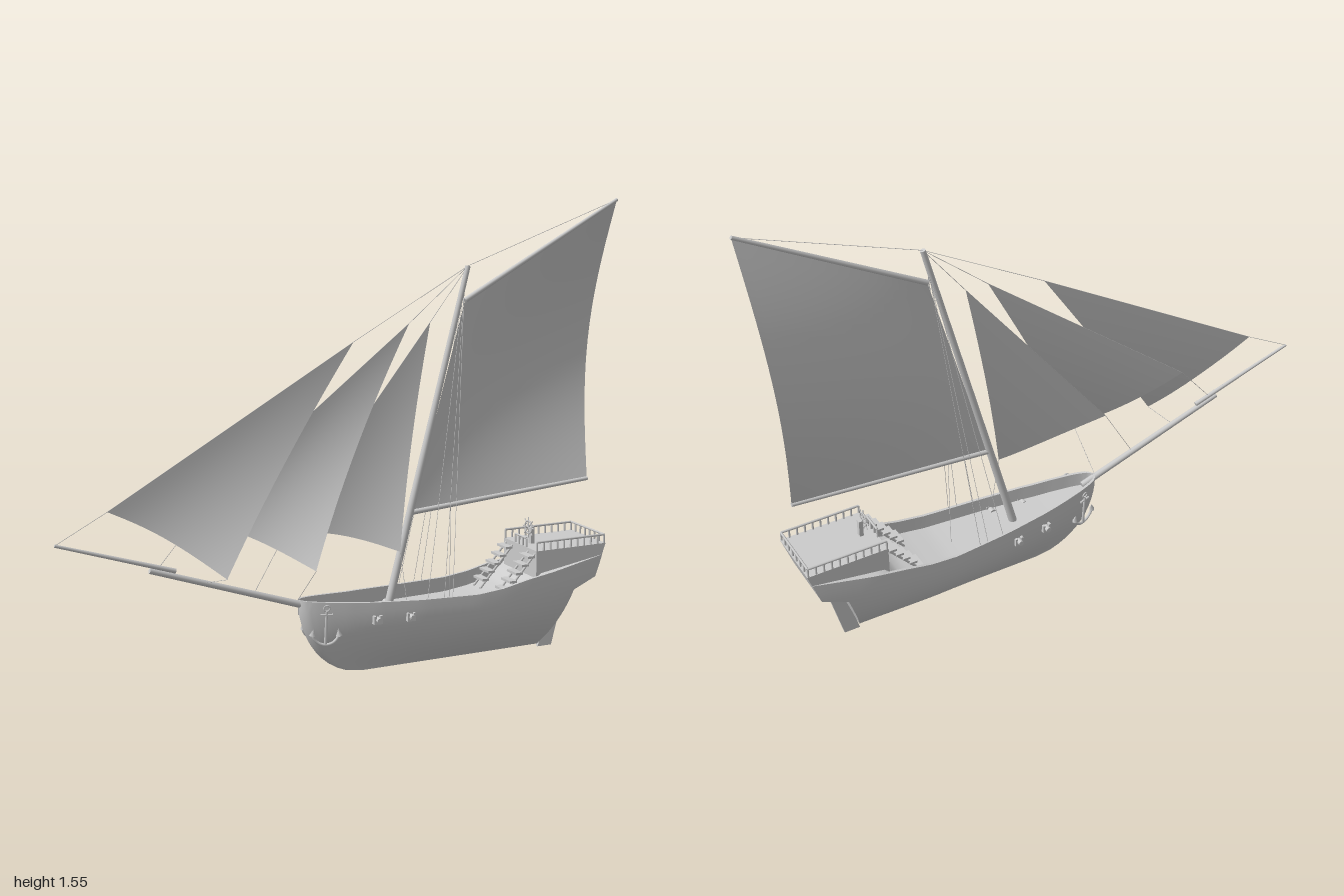
import * as THREE from 'three';
import { toCreasedNormals } from 'three/addons/utils/BufferGeometryUtils.js';

const grey = new THREE.MeshStandardMaterial({ color: 0xcccccc });
const thin = new THREE.MeshStandardMaterial({ color: 0xcccccc, side: THREE.DoubleSide });
const V = (x, y, z = 0) => new THREE.Vector3(x, y, z);
const lerp = THREE.MathUtils.lerp;

// piecewise-linear lookup in a short [x, value] table
function look(table, x) {
  for (let i = 1; i < table.length; i++) {
    const [x0, y0] = table[i - 1], [x1, y1] = table[i];
    if (x <= x1) return lerp(y0, y1, Math.max(0, (x - x0) / (x1 - x0)));
  }
  return table[table.length - 1][1];
}

// surface from a rule: columns i = 0..nu, rows j = 0..nv
function grid(nu, nv, rule) {
  const pos = [], index = [];
  for (let j = 0; j <= nv; j++) for (let i = 0; i <= nu; i++) pos.push(...rule(i, j).toArray());
  for (let j = 0; j < nv; j++) for (let i = 0; i < nu; i++) {
    const a = j * (nu + 1) + i, d = a + nu + 1;
    index.push(a, a + 1, d + 1, a, d + 1, d);
  }
  const g = new THREE.BufferGeometry();
  g.setAttribute('position', new THREE.Float32BufferAttribute(pos, 3));
  g.setIndex(index);
  g.computeVertexNormals();
  return g;
}

// hull lines
const SHEER = [[-0.2, 0.28], [0, 0.265], [0.2, 0.258], [0.4, 0.256], [0.5, 0.267], [0.58, 0.285], [0.7, 0.303], [0.9, 0.335]];
const BEAM = [[-0.2, 0], [-0.195, 0.014], [-0.18, 0.03], [-0.155, 0.041], [-0.12, 0.052], [-0.05, 0.068], [0.05, 0.087],
  [0.2, 0.108], [0.4, 0.126], [0.5, 0.131], [0.58, 0.133], [0.7, 0.13], [0.9, 0.109]];
const STERN = [[0, 0.71], [0.66, 0.785], [0.77, 0.873], [1, 0.899]];
const DECK_DROP = [[0.6, 0.05], [0.64, 0]];
const ROWS = [0, 0.03, 0.08, 0.15, 0.23, 0.32, 0.42, 0.5, 0.58, 0.66, 0.77, 0.88, 1];

function hullPoint(u, v) {
  const top = lerp(-0.2, 0.899, u);
  const bow = 0.03 - 0.23 * Math.sqrt(1 - (1 - v) ** 2);
  const rake = (0.899 - look(STERN, v)) * u ** 4;
  return V(lerp(bow, 0.899, u) - rake, lerp(0.009, look(SHEER, top), v), look(BEAM, top - rake) * (1 - (1 - v) ** 2.5));
}

// half section from keel over the rim and down to the deck centreline
function section(u) {
  const pts = ROWS.map(v => hullPoint(u, v));
  const t = pts[pts.length - 1], inner = Math.max(0, t.z - 0.01), deck = t.y - look(DECK_DROP, t.x);
  pts.push(V(t.x, t.y, inner), V(t.x, deck, inner), V(t.x, deck, 0));
  return pts;
}

export function createModel() {
  const ship = new THREE.Group();
  ship.name = 'sailingShip';

  const add = (name, geo, mat = grey, parent = ship) => {
    const m = new THREE.Mesh(geo, mat);
    m.name = name;
    parent.add(m);
    return m;
  };
  const box = (name, w, h, d, x, y, z, parent) => {
    const m = add(name, new THREE.BoxGeometry(w, h, d), grey, parent);
    m.position.set(x, y, z);
    return m;
  };
  const spar = (name, a, b, r0, r1 = r0, sides = 12, parent = ship) => {
    const m = add(name, new THREE.CylinderGeometry(r1, r0, a.distanceTo(b), sides), grey, parent);
    m.position.copy(a).add(b).multiplyScalar(0.5);
    m.quaternion.setFromUnitVectors(V(0, 1, 0), b.clone().sub(a).normalize());
    return m;
  };
  const rope = (a, b) => spar('rope', a, b, 0.0009, 0.0009, 5);
  const plate = (name, pts, depth) => {
    const shape = new THREE.Shape(pts.map(p => new THREE.Vector2(...p)));
    const g = new THREE.ExtrudeGeometry(shape, { depth, bevelEnabled: false });
    return add(name, g.translate(0, 0, -depth / 2));
  };

  // hull shell, bulwark and deck in one loft, then the transom
  const N = 48;
  const cols = Array.from({ length: N + 1 }, (_, i) => {
    const half = section((i / N) ** 1.6);
    const other = half.slice(1).reverse().map(p => V(p.x, p.y, -p.z));
    return other.concat(half);
  });
  add('hull', toCreasedNormals(grid(N, cols[0].length - 1, (i, j) => cols[i][j]), 0.6), thin);
  add('transom', toCreasedNormals(grid(2, ROWS.length - 1, (i, j) => {
    const p = hullPoint(1, ROWS[j]);
    return V(p.x, p.y, p.z * (1 - i));
  }), 0.3), thin);
  plate('rudder', [[0.71, 0], [0.765, 0], [0.828, 0.245], [0.78, 0.23]], 0.012);

  // raised stern deck
  plate('sternCastle', [[0.635, 0.22], [0.86, 0.262], [0.874, 0.262], [0.913, 0.374], [0.635, 0.374]], 0.215);

  // railing around the stern deck
  const railing = new THREE.Group();
  railing.name = 'railing';
  ship.add(railing);
  const rail = (a, b, n) => {
    const up = V(0, 0.03);
    spar('handrail', a.clone().add(up), b.clone().add(up), 0.004, 0.004, 6, railing);
    for (let i = 0; i <= n; i++) {
      const p = a.clone().lerp(b, i / n);
      spar('railPost', p, p.clone().add(up), 0.0035, 0.0035, 6, railing);
    }
  };
  for (const s of [1, -1]) rail(V(0.638, 0.374, s * 0.104), V(0.908, 0.374, s * 0.104), 10);
  rail(V(0.908, 0.374, -0.104), V(0.908, 0.374, 0.104), 7);
  rail(V(0.638, 0.374, -0.036), V(0.638, 0.374, 0.036), 3);

  // twin stairs up to the stern deck
  for (const s of [1, -1]) {
    const stairs = new THREE.Group();
    stairs.name = 'stairs';
    ship.add(stairs);
    for (let i = 0; i < 5; i++) box('tread', 0.026, 0.008, 0.062, 0.525 + i * 0.023, 0.25 + i * 0.026, s * 0.073, stairs);
    for (const e of [-0.022, 0.022]) spar('stringer', V(0.508, 0.22, s * 0.073 + e), V(0.636, 0.362, s * 0.073 + e), 0.004, 0.004, 6, stairs);
  }

  // steering wheel
  const wheel = new THREE.Group();
  wheel.name = 'steeringWheel';
  wheel.position.set(0.667, 0.432, 0);
  wheel.rotation.y = Math.PI / 2;
  ship.add(wheel);
  add('wheelRim', new THREE.TorusGeometry(0.022, 0.003, 6, 24), grey, wheel);
  for (let i = 0; i < 4; i++) {
    const d = V(Math.cos(i * Math.PI / 4), Math.sin(i * Math.PI / 4)).multiplyScalar(0.036);
    spar('wheelSpoke', d.clone().negate(), d, 0.002, 0.002, 6, wheel);
  }
  box('wheelStand', 0.014, 0.06, 0.016, 0.68, 0.402, 0);

  // anchors and guns on both bows
  for (const s of [1, -1]) {
    const anchor = new THREE.Group();
    anchor.name = 'anchor';
    anchor.position.set(-0.125, 0.2, s * 0.056);
    anchor.rotation.set(s * 0.1, -s * 0.3, 0);
    ship.add(anchor);
    spar('shank', V(0, -0.065), V(0, 0.05), 0.005, 0.004, 8, anchor);
    spar('stock', V(-0.02, 0.036), V(0.02, 0.036), 0.004, 0.004, 8, anchor);
    add('ring', new THREE.TorusGeometry(0.01, 0.0025, 6, 14), grey, anchor).position.y = 0.058;
    const arms = add('arms', new THREE.TorusGeometry(0.044, 0.005, 8, 20, Math.PI * 0.9), grey, anchor);
    arms.position.y = -0.024;
    arms.rotation.z = Math.PI * 1.05;
    for (const e of [1, -1]) {
      const fluke = add('fluke', new THREE.ConeGeometry(0.011, 0.026, 4), grey, anchor);
      fluke.position.set(e * 0.042, -0.024, 0);
      fluke.rotation.z = e * 0.15;
    }
    for (const [x, z] of [[0.045, 0.087], [0.16, 0.101]]) {
      for (const e of [-0.011, 0.011]) box('gunPort', 0.008, 0.028, 0.018, x + e, 0.205, s * z);
      box('gunSill', 0.03, 0.007, 0.018, x, 0.195, s * z);
      spar('gun', V(x, 0.206, s * (z - 0.03)), V(x, 0.206, s * (z + 0.021)), 0.011, 0.009);
    }
  }

  // mast and spars
  const masthead = V(0.415, 1.338);
  const throat = V(0.405, 1.225), peak = V(0.992, 1.543), tack = V(0.215, 0.53), clew = V(0.9, 0.583);
  spar('mast', V(0.122, 0.2), masthead, 0.014, 0.009, 16);
  spar('gaff', throat, peak, 0.009, 0.006);
  spar('boom', tack, clew, 0.009, 0.007);
  spar('bowsprit', V(-0.15, 0.25), V(-0.7, 0.435), 0.012, 0.009);
  spar('jibBoom', V(-0.615, 0.425), V(-0.997, 0.547), 0.008, 0.005);

  // mainsail: straight on its spars, bellied out along the free edge
  add('mainsail', grid(20, 20, (i, j) => {
    const u = i / 20, v = j / 20;
    const p = tack.clone().lerp(clew, u).lerp(throat.clone().lerp(peak, u), v);
    p.z = -0.086 * u ** 0.85 * Math.sin(Math.PI * v);
    return p;
  }), thin);

  // headsails: head, tack and a clew that curls out to the side
  const jibs = [
    [V(0, 1.11), V(-0.83, 0.635), V(-0.48, 0.405, 0.096)],
    [V(0.2, 1.16), V(-0.55, 0.58), V(-0.195, 0.408, 0.135)],
    [V(0.277, 1.16), V(-0.24, 0.51), V(0.135, 0.42, 0.072)],
  ];
  for (const [head, low, corner] of jibs) add('headsail', grid(16, 20, (i, j) => {
    const s = i / 16, t = 1 - j / 20;
    const foot = low.clone().lerp(corner, s);
    foot.y += 0.018 * Math.sin(Math.PI * s);
    const p = head.clone().lerp(foot, t);
    p.z = corner.z * s ** 2.4 * t ** 2.2;
    return p;
  }), thin);

  // stays and sheets
  rope(masthead, peak);
  rope(masthead, jibs[0][0]);
  rope(jibs[0][0], jibs[0][1]);
  rope(jibs[0][1], V(-0.997, 0.547));
  const feet = [null, V(-0.68, 0.43), V(-0.35, 0.325)];
  for (const k of [1, 2]) {
    rope(masthead, jibs[k][0]);
    rope(jibs[k][0], jibs[k][1]);
    rope(jibs[k][1], feet[k]);
  }
  rope(jibs[0][2], V(-0.52, 0.375));
  rope(jibs[1][2], V(-0.2, 0.28));
  rope(jibs[2][2], V(0.15, 0.26, 0.09));
  rope(V(0.36, 0.54), V(0.36, 0.21));

  // shrouds down to both rails
  for (const s of [1, -1]) for (const x of [0.22, 0.28, 0.31]) rope(V(0.403, 1.29), V(x, 0.256, s * look(BEAM, x) * 0.96));

  return ship;
}
